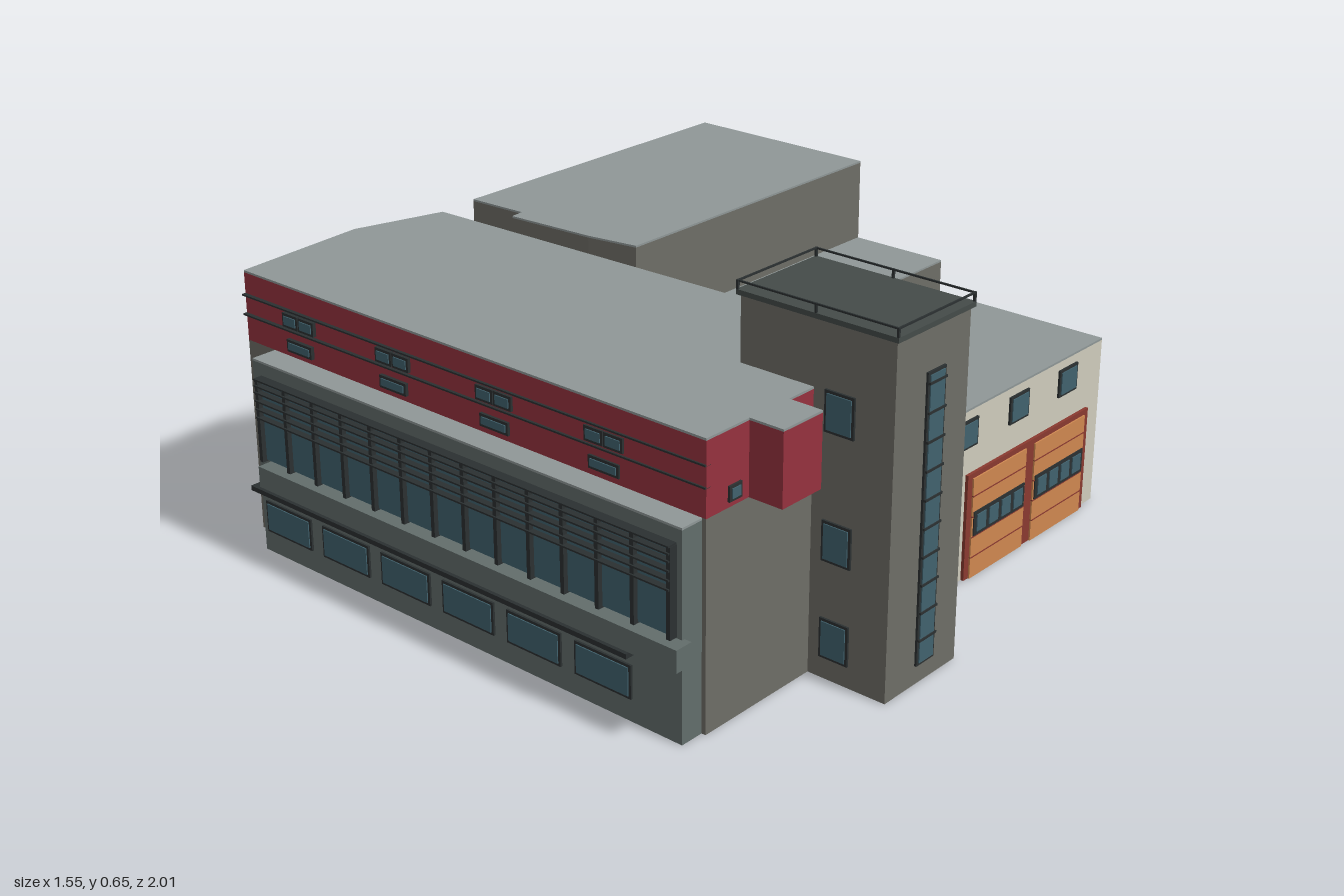
import * as THREE from 'three';

const mat = (color) => new THREE.MeshStandardMaterial({ color, flatShading: true });
const M = {
  wall: mat(0x6e6d66), facade: mat(0x626d6b), roof: mat(0x8f9797), darkRoof: mat(0x444b49),
  red: mat(0x96323e), beige: mat(0xcfccbd), orange: mat(0xcf8850), glass: mat(0x41626e),
  trim: mat(0x2b3031), frameRed: mat(0x8a3a30),
};

export function createModel() {
  const model = new THREE.Group();
  model.name = 'fireStation';
  // Everything is laid out square to the street front, then turned in plan.
  const site = new THREE.Group();
  site.name = 'building';
  site.rotation.y = -0.658;
  model.add(site);

  const add = (name, geometry, material) => {
    const mesh = new THREE.Mesh(geometry, material);
    mesh.name = name;
    site.add(mesh);
    return mesh;
  };
  // Box given by its limits
  const box = (name, material, x0, x1, y0, y1, z0, z1) => {
    const mesh = add(name, new THREE.BoxGeometry(x1 - x0, y1 - y0, z1 - z0), material);
    mesh.position.set((x0 + x1) / 2, (y0 + y1) / 2, (z0 + z1) / 2);
    return mesh;
  };
  // Upright prism over a plan outline of [x, z] points
  const prism = (name, material, plan, y0, y1) => {
    const shape = new THREE.Shape(plan.map(([x, z]) => new THREE.Vector2(x, -z)));
    const g = new THREE.ExtrudeGeometry(shape, { depth: y1 - y0, bevelEnabled: false });
    g.rotateX(-Math.PI / 2);
    g.translate(0, y0, 0);
    return add(name, g, material);
  };
  // Walls with a thin roof sheet on top
  const block = (name, material, plan, y0, y1, roof = M.roof) => {
    prism(name + 'Walls', material, plan, y0, y1 - 0.004);
    prism(name + 'Roof', roof, plan, y1 - 0.004, y1);
  };
  const rect = (x0, x1, z0, z1) => [[x0, z0], [x1, z0], [x1, z1], [x0, z1]];
  // Flat panel on a wall: axis is the wall normal, at its position, dir its sign
  const panel = (name, material, axis, at, dir, c, w, y0, y1, t) => {
    const p0 = Math.min(at - dir * 0.003, at + dir * t), p1 = Math.max(at - dir * 0.003, at + dir * t);
    return axis === 'x'
      ? box(name, material, p0, p1, y0, y1, c - w / 2, c + w / 2)
      : box(name, material, c - w / 2, c + w / 2, y0, y1, p0, p1);
  };
  const windowUnit = (axis, at, dir, c, w, y0, y1) => {
    panel('windowFrame', M.trim, axis, at, dir, c, w, y0, y1, 0.004);
    panel('windowGlass', M.glass, axis, at, dir, c, w - 0.01, y0 + 0.005, y1 - 0.005, 0.006);
  };

  // Rear wing: low part and two-storey part
  block('rearLowWing', M.wall, rect(-0.627, 0.042, -0.778, 0.43), 0, 0.237);
  block('rearUpperWing', M.wall, [[-0.627, -0.779], [-0.181, -0.779], [-0.181, -0.052],
    [-0.292, -0.034], [-0.49, -0.02], [-0.493, -0.05], [-0.627, -0.043]], 0.23, 0.413);
  for (const y of [0.05, 0.21]) {
    for (const x of [-0.225, -0.37, -0.53]) windowUnit('z', -0.779, -1, x, 0.07, y, y + 0.065);
    for (let i = 0; i < 4; i++) windowUnit('x', -0.627, -1, -0.65 + i * 0.165, 0.09, y, y + 0.06);
  }

  // Vehicle hall
  const hall = rect(0.03, 0.653, -0.416, 0.172);
  block('vehicleHall', M.beige, hall, 0, 0.33);
  panel('hallBackBase', M.wall, 'z', -0.416, -1, 0.341, 0.62, 0, 0.24, 0.002);
  for (const z of [0.02, -0.14, -0.3]) windowUnit('x', 0.653, 1, z, 0.06, 0.257, 0.31);
  windowUnit('x', 0.653, 1, 0.105, 0.135, 0.21, 0.25);

  // Sectional doors with red frames, panel joints and a row of lights
  const door = (z, w, h, lights) => {
    panel('doorFrame', M.frameRed, 'x', 0.653, 1, z, w + 0.02, 0, h + 0.01, 0.006);
    panel('doorLeaf', M.orange, 'x', 0.653, 1, z, w - 0.008, 0, h, 0.009);
    for (let y = 0.04; y < h - 0.02; y += 0.04)
      panel('doorJoint', M.frameRed, 'x', 0.653, 1, z, w - 0.008, y, y + 0.002, 0.01);
    if (!lights) return;
    panel('doorLightBand', M.trim, 'x', 0.653, 1, z, w - 0.015, 0.083, 0.13, 0.011);
    for (let i = 0; i < lights; i++)
      panel('doorLight', M.glass, 'x', 0.653, 1, z + ((i + 0.5) / lights - 0.5) * (w - 0.02),
        w / lights - 0.016, 0.09, 0.123, 0.013);
  };
  door(-0.08, 0.175, 0.195, 4);
  door(-0.275, 0.175, 0.195, 4);
  door(0.115, 0.1, 0.13, 0);

  // Entrance link between hall and tower
  block('entranceLink', M.wall, rect(0.03, 0.665, 0.16, 0.27), 0, 0.24);
  panel('entranceGlass', M.glass, 'x', 0.665, 1, 0.215, 0.06, 0, 0.13, 0.004);

  // Main block: grey base, red upper storey reaching lower at the back
  const main = [[-0.409, 0.243], [0.644, 0.21], [0.644, 0.7], [-0.44, 0.695], [-0.46, 0.42]];
  prism('mainBase', M.wall, main, 0, 0.335);
  prism('mainBaseFront', M.wall, [[-0.46, 0.42], [0.644, 0.42], [0.644, 0.7], [-0.44, 0.695]], 0.335, 0.375);
  prism('redSkirtBack', M.red, [[-0.409, 0.243], [0.644, 0.21], [0.644, 0.42], [-0.46, 0.42]], 0.335, 0.375);
  block('redStorey', M.red, main, 0.375, 0.508);
  block('redBay', M.red, rect(0.63, 0.71, 0.505, 0.6), 0.375, 0.508);
  windowUnit('x', 0.644, 1, 0.635, 0.03, 0.385, 0.412);
  for (const y of [0.425, 0.462]) box('redStoreyTrim', M.trim, -0.44, 0.644, y, y + 0.003, 0.69, 0.703);
  for (let i = 0; i < 4; i++) {
    const x = -0.29 + i * 0.242;
    windowUnit('z', 0.699, 1, x - 0.021, 0.04, 0.432, 0.458);
    windowUnit('z', 0.699, 1, x + 0.021, 0.04, 0.432, 0.458);
    windowUnit('z', 0.699, 1, x, 0.065, 0.387, 0.41);
  }

  // End windows and rail standing off the end wall
  box('endRail', M.trim, -0.494, -0.489, 0.468, 0.472, 0.21, 0.626);
  for (const z of [0.28, 0.42, 0.56]) {
    box('endWindowFrame', M.trim, -0.49, -0.44, 0.39, 0.42, z - 0.042, z + 0.042);
    box('endWindowGlass', M.glass, -0.493, -0.488, 0.394, 0.416, z - 0.037, z + 0.037);
  }

  // Projecting street front
  block('streetFront', M.facade, rect(-0.367, 0.636, 0.66, 0.746), 0, 0.375);
  box('curtainGlass', M.glass, -0.342, 0.622, 0.19, 0.345, 0.74, 0.753);
  for (let i = 0; i <= 13; i++) {
    const x = -0.342 + (i * 0.964) / 13;
    box('mullion', M.trim, x - 0.004, x + 0.004, 0.187, 0.345, 0.74, 0.762);
  }
  for (const y of [0.272, 0.288, 0.304, 0.32, 0.333, 0.345])
    box('louvre', M.trim, -0.345, 0.625, y, y + 0.003, 0.74, 0.765);
  box('balconyBand', M.facade, -0.335, 0.65, 0.145, 0.185, 0.74, 0.775);
  box('sunShade', M.trim, -0.37, 0.54, 0.125, 0.134, 0.74, 0.768);
  for (let i = 0; i < 6; i++) windowUnit('z', 0.746, 1, -0.293 + i * 0.153, 0.122, 0.042, 0.103);

  // Stair tower
  block('tower', M.wall, rect(0.495, 0.8, 0.25, 0.443), 0, 0.628);
  box('towerCap', M.darkRoof, 0.49, 0.806, 0.625, 0.634, 0.245, 0.449);
  for (const y of [0.04, 0.215, 0.44]) windowUnit('z', 0.443, 1, 0.697, 0.058, y, y + 0.072);
  windowUnit('x', 0.8, 1, 0.34, 0.048, 0.035, 0.55);
  for (let y = 0.08; y < 0.54; y += 0.05)
    panel('stairWindowBar', M.trim, 'x', 0.8, 1, 0.34, 0.046, y, y + 0.004, 0.008);
  windowUnit('z', 0.25, -1, 0.665, 0.035, 0.388, 0.418);

  // Roof railing
  for (const z of [0.247, 0.447]) {
    box('railing', M.trim, 0.49, 0.806, 0.647, 0.65, z - 0.0015, z + 0.0015);
    for (const x of [0.492, 0.648, 0.804])
      box('railingPost', M.trim, x - 0.002, x + 0.002, 0.63, 0.65, z - 0.002, z + 0.002);
  }
  for (const x of [0.492, 0.804]) box('railing', M.trim, x - 0.0015, x + 0.0015, 0.647, 0.65, 0.247, 0.447);

  return model;
}
